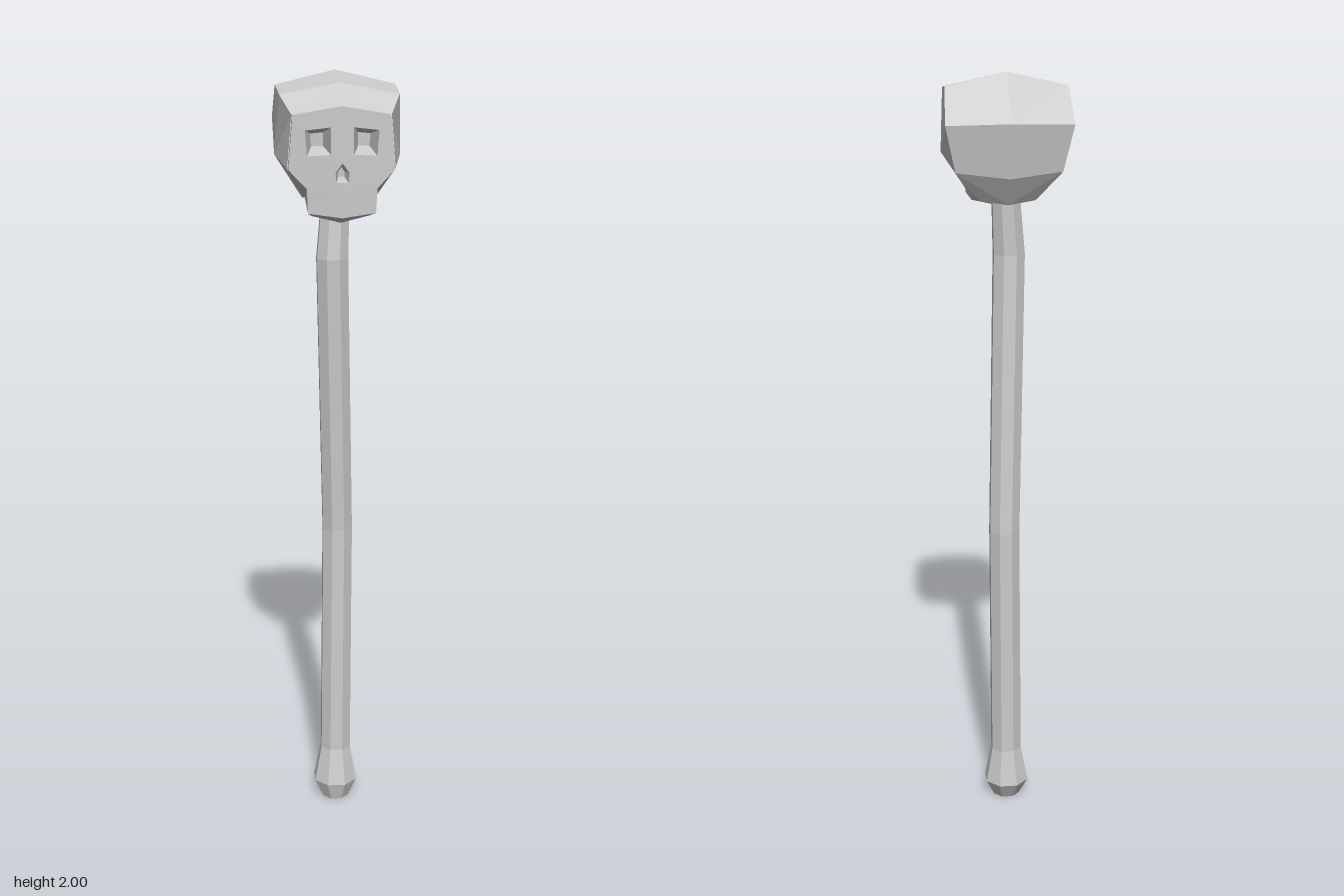
import * as THREE from 'three';
import { mergeGeometries } from 'three/addons/utils/BufferGeometryUtils.js';

const material = new THREE.MeshStandardMaterial({ color: 0xcccccc, flatShading: true });
const openMaterial = material.clone();
openMaterial.side = THREE.DoubleSide;

function fromTriangles(triangles) {
  const geometry = new THREE.BufferGeometry();
  geometry.setAttribute('position', new THREE.Float32BufferAttribute(triangles.flat(2), 3));
  geometry.computeVertexNormals();
  return geometry;
}

// Join a +x half with its mirror image, keeping the faces outward
function mirrored(half) {
  const p = half.index ? half.toNonIndexed().attributes.position : half.attributes.position;
  const triangles = [];
  const corner = (i, sign) => [sign * p.getX(i), p.getY(i), p.getZ(i)];
  for (let i = 0; i < p.count; i += 3) {
    triangles.push([corner(i, 1), corner(i + 1, 1), corner(i + 2, 1)]);
    triangles.push([corner(i, -1), corner(i + 2, -1), corner(i + 1, -1)]);
  }
  return fromTriangles(triangles);
}

// Half shell: strip between a centre profile and a side profile, capped by a fan
function shell(centre, side, hub, skip = -1) {
  const triangles = [];
  centre.forEach((c, i) => {
    const j = (i + 1) % centre.length;
    if (i !== skip) triangles.push([c, centre[j], side[j]], [c, side[j], side[i]]);
    triangles.push([hub, side[i], side[j]]);
  });
  return mirrored(fromTriangles(triangles));
}

// The face is a shallow V, furthest forward on the centre line
const faceZ = (x) => 0.167 - 0.15 * x;

// Tapering recess behind an opening in the face
function socket(outline, middle, taper, depth, closed) {
  const rim = outline.map(([x, y]) => [x, y, faceZ(x)]);
  const floor = outline.map(([x, y]) => [
    middle[0] + (x - middle[0]) * taper,
    middle[1] + (y - middle[1]) * taper,
    faceZ(x) - depth,
  ]);
  const triangles = [];
  const count = closed ? rim.length : rim.length - 1;
  for (let i = 0; i < count; i++) {
    const j = (i + 1) % rim.length;
    triangles.push([rim[i], rim[j], floor[j]], [rim[i], floor[j], floor[i]]);
  }
  for (let i = 1; i < floor.length - 1; i++) triangles.push([floor[0], floor[i], floor[i + 1]]);
  return mirrored(fromTriangles(triangles));
}

// Bent octagonal rod through rings of [y, x, z, radius]
function rod(rings, sides = 8) {
  const loops = rings.map(([y, x, z, r]) => Array.from({ length: sides }, (_, k) => {
    const a = ((k + 0.5) / sides) * Math.PI * 2;
    return [x + r * Math.sin(a), y, z + r * Math.cos(a)];
  }));
  const triangles = [];
  const last = loops.length - 1;
  for (let k = 0; k < sides; k++) {
    const n = (k + 1) % sides;
    for (let i = 0; i < last; i++) {
      const a = loops[i], b = loops[i + 1];
      triangles.push([a[k], a[n], b[n]], [a[k], b[n], b[k]]);
    }
    const [y0, x0, z0] = rings[0], [y1, x1, z1] = rings[last];
    triangles.push([[x0, y0, z0], loops[0][n], loops[0][k]]);
    triangles.push([[x1, y1, z1], loops[last][k], loops[last][n]]);
  }
  return fromTriangles(triangles);
}

export function createModel() {
  const group = new THREE.Group();
  const add = (name, geometry, mat = material) => {
    const mesh = new THREE.Mesh(geometry, mat);
    mesh.name = name;
    group.add(mesh);
  };

  // Crooked shaft with a swollen foot
  add('shaft', rod([
    [0, -0.005, -0.012, 0.038],
    [0.05, -0.005, -0.02, 0.062],
    [0.15, -0.004, -0.022, 0.043],
    [0.8, 0.002, -0.032, 0.042],
    [1.54, -0.014, 0.01, 0.043],
    [1.74, -0.002, -0.004, 0.036],
  ]));

  // Cranium, open behind the face: top, brow, cheek, underside, back
  add('cranium', shell(
    [[0, 2, -0.08], [0, 1.98, 0.077], [0, 1.932, 0.155], [0, 1.74, 0.13],
      [0, 1.7, 0.05], [0, 1.68, -0.1], [0, 1.75, -0.145], [0, 1.885, -0.172]],
    [[0.152, 1.965, -0.07], [0.147, 1.952, 0.072], [0.121, 1.91, 0.137], [0.132, 1.78, 0.132],
      [0.092, 1.7, 0.05], [0.07, 1.69, -0.09], [0.132, 1.765, -0.13], [0.157, 1.88, -0.15]],
    [0.158, 1.8, 0], 2));

  // Face plate with eye openings and a nose notch
  const eye = [[0.028, 1.882], [0.09, 1.874], [0.085, 1.813], [0.028, 1.817]];
  const nose = [[0, 1.797], [0.017, 1.774], [0.015, 1.75], [0, 1.75]];
  const outline = [[0, 1.932], [0.119, 1.91], [0.13, 1.78], [0.086, 1.735], [0, 1.735],
    ...[...nose].reverse()];
  const points = (list) => list.map(([x, y]) => new THREE.Vector2(x, y));
  const shape = new THREE.Shape(points(outline));
  shape.holes.push(new THREE.Path(points(eye)));
  const depth = 0.03;
  const plate = new THREE.ExtrudeGeometry(shape, { depth, bevelEnabled: false });
  const p = plate.attributes.position;
  for (let i = 0; i < p.count; i++) p.setZ(i, p.getZ(i) - depth + faceZ(p.getX(i)));
  add('face', mirrored(plate));

  // Recesses behind the eye and nose openings
  add('sockets', mergeGeometries([
    socket(eye, [0.058, 1.847], 0.5, 0.06, true),
    socket(nose, [0, 1.77], 0.5, 0.04, false),
  ]), openMaterial);

  // Upper jaw, flush with the face and sloping back underneath
  add('jaw', shell(
    [[0, 1.742, 0.167], [0, 1.665, 0.166], [0, 1.645, 0.11], [0, 1.67, 0.07], [0, 1.74, 0.07]],
    [[0.086, 1.736, 0.154], [0.083, 1.675, 0.153], [0.072, 1.662, 0.105],
      [0.07, 1.685, 0.07], [0.08, 1.74, 0.07]],
    [0.088, 1.705, 0.115]));

  return group;
}
